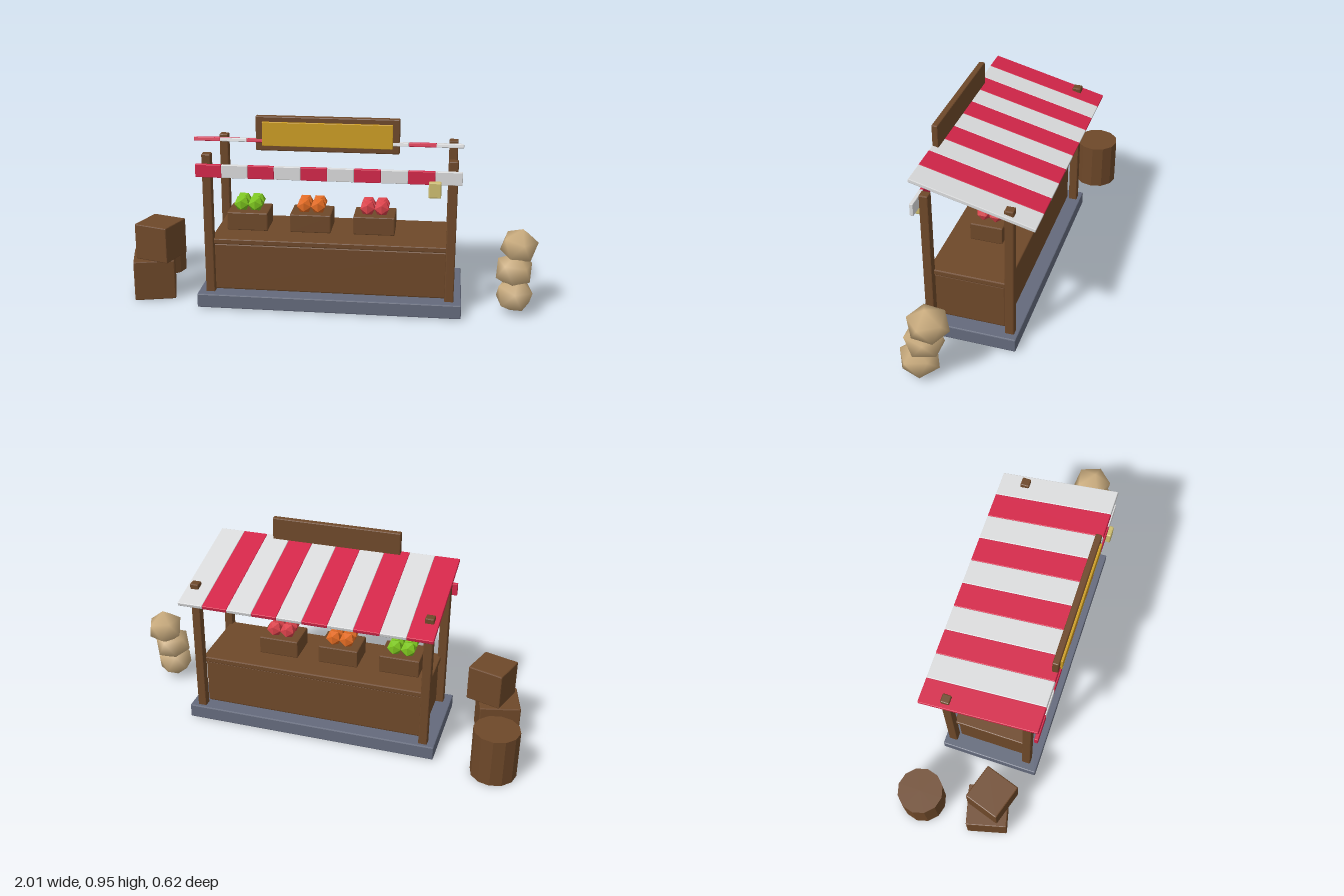
import * as THREE from 'three';
import { mergeVertices } from 'three/addons/utils/BufferGeometryUtils.js';
import { RoundedBoxGeometry } from 'three/addons/geometries/RoundedBoxGeometry.js';

const mat = (name, color) => {
  const m = new THREE.MeshStandardMaterial({ color });
  m.name = name;
  return m;
};

export function createModel() {
  const wood = mat('wood', 0x6e4829);
  const stone = mat('stone', 0x646a7c);
  const redCloth = mat('redCloth', 0xd32649);
  const whiteCloth = mat('whiteCloth', 0xdadbdc);
  const gold = mat('gold', 0xcb9c22);
  const lampGlow = mat('lampGlow', 0xcdbd70);
  const burlap = mat('burlap', 0xccae80);
  const green = mat('greenFruit', 0x7cc41e);
  const orange = mat('orangeFruit', 0xe06a22);
  const apple = mat('redFruit', 0xd9414a);

  const model = new THREE.Group();
  model.name = 'marketStall';

  const add = (parent, name, geometry, material, x, y, z) => {
    const mesh = new THREE.Mesh(geometry, material);
    mesh.name = name;
    mesh.position.set(x, y, z);
    parent.add(mesh);
    return mesh;
  };

  // Box with narrow flat chamfers
  const block = (parent, name, material, [w, h, d], [x, y, z], bevel = 0.005) => {
    const g = new RoundedBoxGeometry(w, h, d, 1, bevel);
    g.computeVertexNormals();
    return add(parent, name, g, material, x, y, z);
  };

  const group = (name) => {
    const g = new THREE.Group();
    g.name = name;
    model.add(g);
    return g;
  };

  const cx = 0.028, cz = 0.047; // middle of the stall

  // Platform and counter
  block(model, 'platform', stone, [1.256, 0.069, 0.488], [cx, 0.0375, cz]);
  block(model, 'counterBody', wood, [1.11, 0.234, 0.35], [cx, 0.191, cz], 0.008);
  block(model, 'counterTop', wood, [1.13, 0.028, 0.38], [cx, 0.323, cz]);

  // Corner posts
  const posts = group('posts');
  for (const x of [-0.542, 0.598])
    for (const z of [0.23, -0.157])
      block(posts, 'post', wood, [0.043, 0.755, 0.043], [x, 0.3775, z]);

  // Striped sloping canopy and the hanging cloth strip at the front
  const canopy = group('canopy');
  const valance = group('valance');
  const stripe = 0.1224;
  for (let i = 0; i < 10; i++) {
    const cloth = i % 2 ? whiteCloth : redCloth;
    const x = -0.585 + stripe * (i + 0.5);
    block(canopy, 'canopyStripe', cloth, [stripe, 0.018, 0.587], [x, 0.766, 0.003], 0.003)
      .rotation.x = -0.247;
    block(valance, 'valanceFlap', cloth, [stripe, 0.062, 0.018], [x, 0.685, 0.28], 0.003);
  }

  // Sign board with a blank panel
  block(model, 'signBoard', wood, [0.652, 0.16, 0.03], [cx, 0.87, 0.271]);
  block(model, 'signPanel', gold, [0.59, 0.11, 0.02], [cx, 0.87, 0.287], 0.002);

  // Lantern
  block(model, 'lantern', lampGlow, [0.057, 0.075, 0.057], [0.517, 0.634, 0.282], 0.006);

  // Trays of fruit on the counter
  const fruitGeometry = new THREE.IcosahedronGeometry(0.04, 0);
  [green, orange, apple].forEach((fruit, i) => {
    const tray = group('fruitTray');
    tray.position.set(-0.379 + i * 0.3055, 0, cz);
    block(tray, 'tray', wood, [0.198, 0.09, 0.16], [0, 0.39, 0]);
    for (const x of [-0.034, 0.034])
      for (const z of [-0.03, 0.03])
        add(tray, 'fruit', fruitGeometry, fruit, x, 0.467, z);
  });

  // Barrel and stacked crates
  const barrel = new THREE.CylinderGeometry(0.11, 0.11, 0.243, 12).toNonIndexed();
  barrel.computeVertexNormals();
  add(model, 'barrel', barrel, wood, -0.89, 0.1235, -0.2);
  block(model, 'lowerCrate', wood, [0.197, 0.2, 0.197], [-0.849, 0.102, 0.129]).rotation.y = 0.25;
  block(model, 'upperCrate', wood, [0.177, 0.178, 0.177], [-0.808, 0.292, 0.141]).rotation.y = -0.31;

  // Stack of soft sacks
  let sack = new THREE.IcosahedronGeometry(0.101, 0);
  sack.deleteAttribute('uv');
  sack.deleteAttribute('normal');
  sack = mergeVertices(sack);
  sack.computeVertexNormals();
  const sacks = group('sacks');
  [
    [0.904, 0.092, 0.167, 0.2],
    [0.899, 0.204, 0.142, 0.9],
    [0.919, 0.315, 0.111, 0.45],
  ].forEach(([x, y, z, turn]) => {
    const holder = new THREE.Group();
    holder.name = 'sack';
    holder.position.set(x, y, z);
    holder.scale.set(0.93, 0.88, 1);
    add(holder, 'sackBody', sack, burlap, 0, 0, 0).rotation.set(0.15, turn, 0.4);
    sacks.add(holder);
  });

  return model;
}
